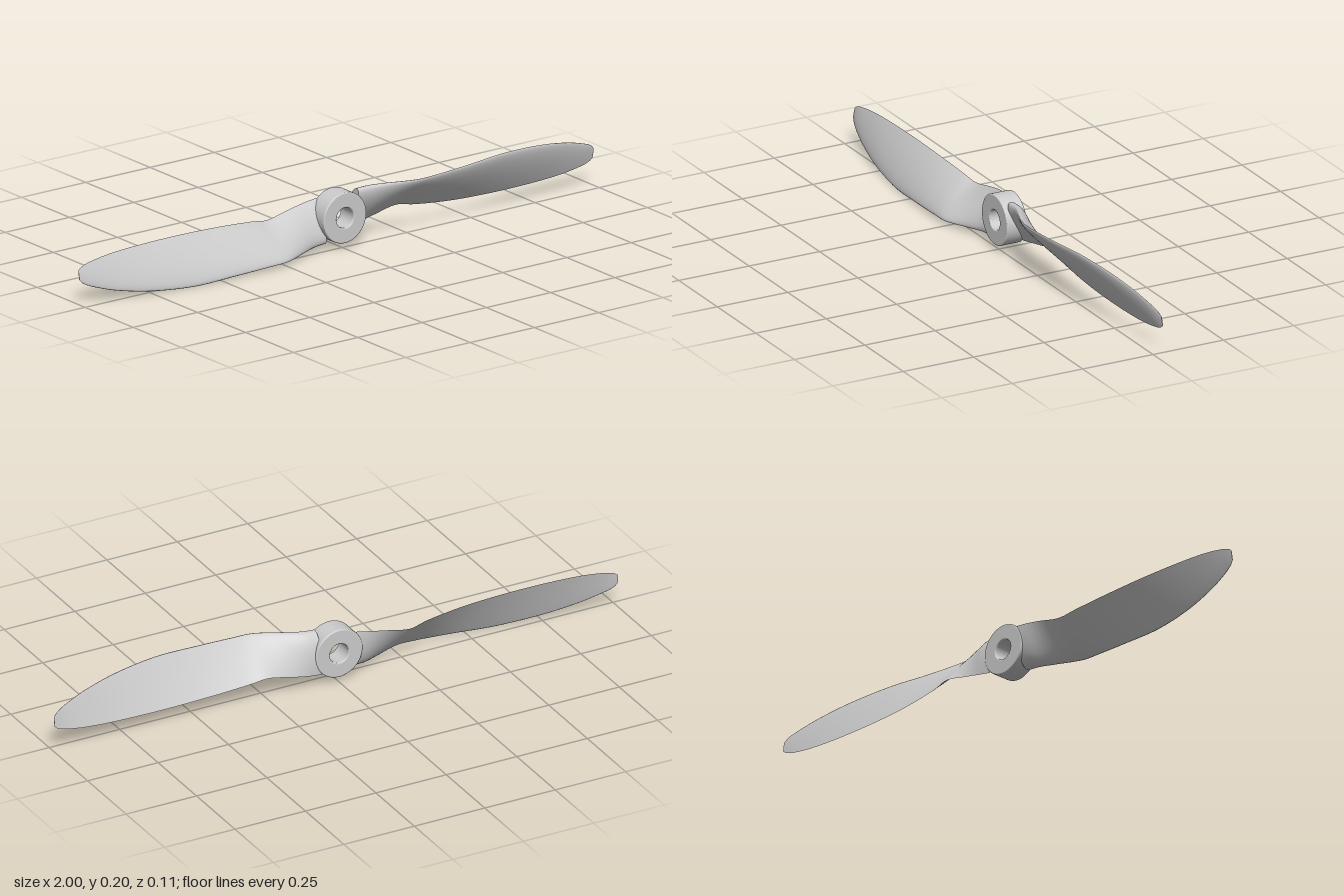
import * as THREE from 'three';

const CENTRE_Y = 0.103;

// Blade stations: x, leading edge y/z, trailing edge y/z, front and rear bulge
const STATIONS = [
  [0.062, 0.077, -0.004, -0.060, -0.052, 0.016, 0.024],
  [0.11, 0.080, 0.000, -0.052, -0.056, 0.016, 0.021],
  [0.17, 0.083, 0.022, -0.040, -0.057, 0.014, 0.014],
  [0.25, 0.086, 0.052, -0.024, -0.055, 0.011, 0.007],
  [0.32, 0.088, 0.054, -0.034, -0.047, 0.011, 0.003],
  [0.45, 0.094, 0.049, -0.045, -0.039, 0.011, 0.001],
  [0.60, 0.101, 0.038, -0.050, -0.036, 0.011, 0.001],
  [0.75, 0.092, 0.019, -0.049, -0.035, 0.010, 0.001],
  [0.87, 0.072, -0.001, -0.043, -0.035, 0.007, 0.001],
  [0.95, 0.049, -0.017, -0.032, -0.035, 0.005, 0.001],
  [0.985, 0.034, -0.026, -0.022, -0.035, 0.003, 0.001],
  [1.0, 0.020, -0.030, -0.011, -0.035, 0.001, 0.001],
];

// Smooth interpolation of every station column
function stationAt(f) {
  const i = Math.min(Math.floor(f), STATIONS.length - 2), t = f - i;
  const row = (k) => STATIONS[Math.max(0, Math.min(STATIONS.length - 1, k))];
  return row(i).map((p1, k) => {
    const p0 = row(i - 1)[k], p2 = row(i + 1)[k], p3 = row(i + 2)[k];
    const m1 = (p2 - p0) / 2, m2 = (p3 - p1) / 2;
    const t2 = t * t, t3 = t2 * t;
    return (2 * t3 - 3 * t2 + 1) * p1 + (t3 - 2 * t2 + t) * m1
      + (3 * t2 - 2 * t3) * p2 + (t3 - t2) * m2;
  });
}

// Aerofoil loop: trailing edge, over the rear to the leading edge, down the front
function section(f, half) {
  const [x, ly, lz, ty, tz, front, rear] = stationAt(f);
  const chord = Math.hypot(ty - ly, tz - lz);
  const ny = (tz - lz) / chord, nz = (ly - ty) / chord;
  const points = [];
  for (let j = 0; j <= half * 2; j++) {
    const s = (1 + Math.cos((j / half) * Math.PI)) / 2;
    const bulge = 2.6 * Math.sqrt(s) * (1 - s) * (j < half ? -rear : front);
    points.push([x, ly + (ty - ly) * s + ny * bulge, lz + (tz - lz) * s + nz * bulge]);
  }
  return points;
}

function bladeGeometry() {
  const half = 16, steps = (STATIONS.length - 1) * 6, n = half * 2 + 1;
  const position = [], index = [];
  for (let i = 0; i <= steps; i++) {
    position.push(...section(i / 6, half).flat());
    for (let j = 0; i < steps && j < n - 1; j++) {
      const a = i * n + j, b = a + 1, c = b + n, d = a + n;
      index.push(a, b, c, a, c, d);
    }
  }
  // Flat caps at root and tip, stitched between the two sides
  for (const [f, tip] of [[0, false], [STATIONS.length - 1, true]]) {
    const base = position.length / 3;
    position.push(...section(f, half).flat());
    for (let j = 0; j < half; j++) {
      const a = base + j, b = a + 1, c = base + n - 2 - j, d = c + 1;
      if (tip) index.push(a, b, c, a, c, d);
      else index.push(a, c, b, a, d, c);
    }
  }
  const geometry = new THREE.BufferGeometry();
  geometry.setAttribute('position', new THREE.Float32BufferAttribute(position, 3));
  geometry.setIndex(index);
  geometry.computeVertexNormals();
  return geometry;
}

// Ring with a through bore and small bevelled rims
function hubGeometry() {
  const shape = new THREE.Shape().absarc(0, 0, 0.079, 0, Math.PI * 2);
  const bore = new THREE.Path().absarc(0, 0, 0.037, 0, Math.PI * 2, true);
  shape.holes.push(bore);
  const bevel = 0.004;
  return new THREE.ExtrudeGeometry(shape, {
    depth: 0.071 - 2 * bevel, curveSegments: 48,
    bevelSize: bevel, bevelThickness: bevel, bevelSegments: 3,
  }).translate(0, 0, -0.055 + bevel);
}

export function createModel() {
  const material = new THREE.MeshStandardMaterial({ color: 0xcccccc, side: THREE.DoubleSide });
  const propeller = new THREE.Group();
  propeller.name = 'propeller';
  propeller.position.y = CENTRE_Y;

  const hub = new THREE.Mesh(hubGeometry(), material);
  hub.name = 'hub';
  propeller.add(hub);

  // Two identical blades, half a turn apart
  const geometry = bladeGeometry();
  ['leftBlade', 'rightBlade'].forEach((name, i) => {
    const blade = new THREE.Mesh(geometry, material);
    blade.name = name;
    blade.rotation.z = i * Math.PI;
    propeller.add(blade);
  });

  const model = new THREE.Group();
  model.add(propeller);
  return model;
}
